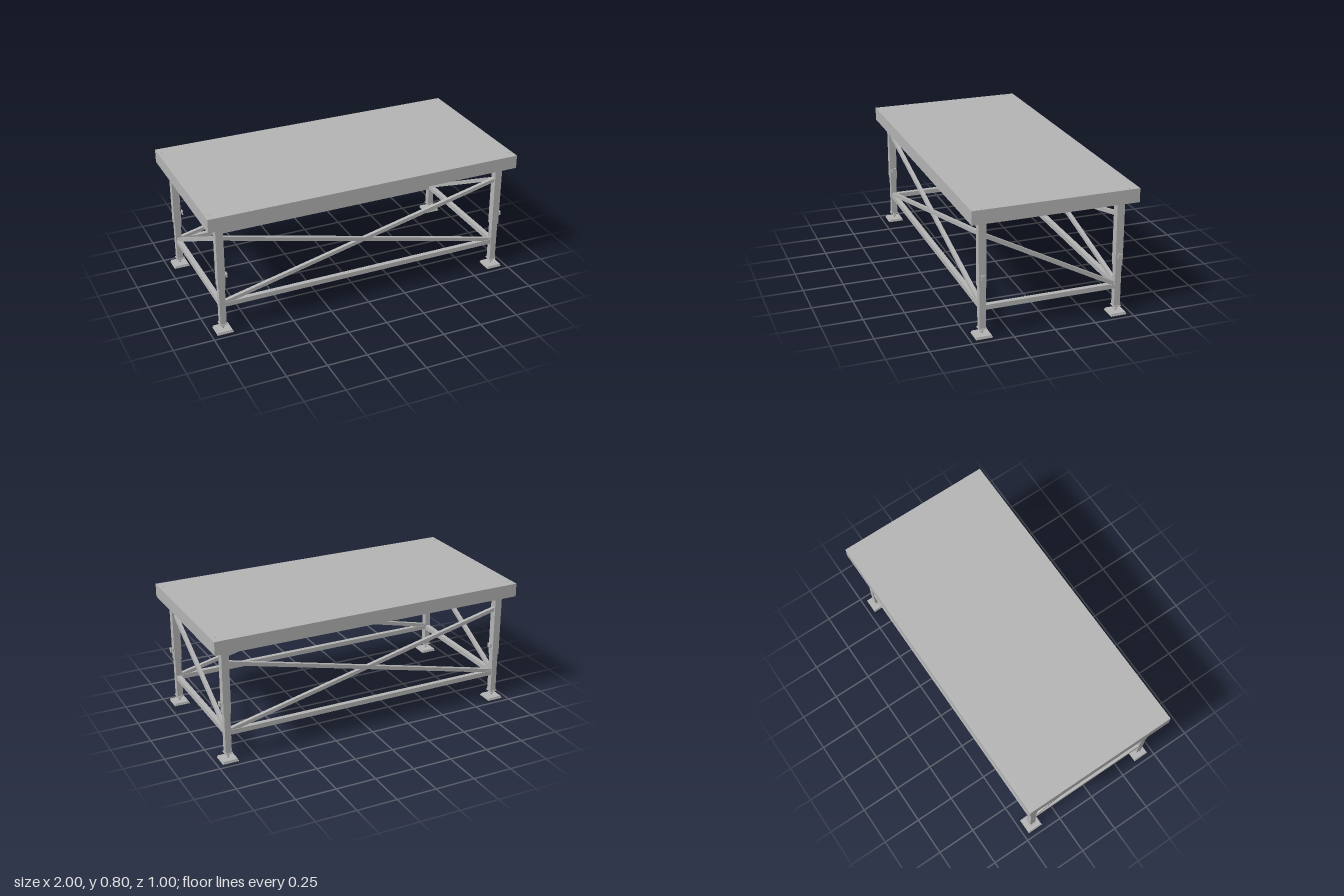
import * as THREE from 'three';

export function createModel() {
  const model = new THREE.Group();
  const steel = new THREE.MeshStandardMaterial({ color: 0xb4b4b4 });
  steel.name = 'grey steel';

  function add(parent, name, geometry, x = 0, y = 0, z = 0) {
    const mesh = new THREE.Mesh(geometry, steel);
    mesh.name = name;
    mesh.position.set(x, y, z);
    parent.add(mesh);
    return mesh;
  }
  const box = (w, h, d) => new THREE.BoxGeometry(w, h, d);

  // Square tube running between two points
  function brace(name, a, b, height, depth) {
    const from = new THREE.Vector3(...a), to = new THREE.Vector3(...b);
    const mid = from.clone().add(to).multiplyScalar(0.5);
    const mesh = add(model, name, box(depth, height, from.distanceTo(to)), mid.x, mid.y, mid.z);
    mesh.lookAt(to);
  }

  // Deck: top panel, hollow rim, cross beams and corner gussets
  const deck = new THREE.Group();
  deck.name = 'deck';
  model.add(deck);
  add(deck, 'deckPanel', box(1.94, 0.02, 0.94), 0, 0.789, 0);

  const rimShape = new THREE.Shape();
  rimShape.moveTo(-1, -0.5).lineTo(1, -0.5).lineTo(1, 0.5).lineTo(-1, 0.5).closePath();
  const hole = new THREE.Path();
  hole.moveTo(-0.97, -0.47).lineTo(-0.97, 0.47).lineTo(0.97, 0.47).lineTo(0.97, -0.47).closePath();
  rimShape.holes.push(hole);
  const rim = new THREE.ExtrudeGeometry(rimShape, { depth: 0.084, bevelEnabled: false });
  rim.rotateX(-Math.PI / 2);
  add(deck, 'deckRim', rim, 0, 0.715, 0);

  for (const x of [-0.5, 0, 0.5]) add(deck, 'crossBeam', box(0.04, 0.045, 0.94), x, 0.757, 0);

  for (const sx of [-1, 1]) for (const sz of [-1, 1]) {
    const corner = new THREE.Shape();
    corner.moveTo(sx * 0.98, -sz * 0.48).lineTo(sx * 0.78, -sz * 0.48).lineTo(sx * 0.98, -sz * 0.3).closePath();
    const gusset = new THREE.ExtrudeGeometry(corner, { depth: 0.012, bevelEnabled: false });
    gusset.rotateX(-Math.PI / 2);
    add(deck, 'cornerGusset', gusset, 0, 0.717, 0);
    add(deck, 'deckPin', new THREE.CylinderGeometry(0.008, 0.008, 0.004, 12), sx * 0.975, 0.799, sz * 0.44);
  }

  // Telescopic legs with clamp, locking knob and screw foot
  const LX = 0.917, LZ = 0.417;
  for (const sx of [-1, 1]) for (const sz of [-1, 1]) {
    const leg = new THREE.Group();
    leg.name = 'leg';
    leg.position.set(sx * LX, 0, sz * LZ);
    model.add(leg);
    add(leg, 'outerSleeve', box(0.046, 0.41, 0.046), 0, 0.512, 0);
    add(leg, 'innerTube', box(0.038, 0.27, 0.038), 0, 0.185, 0);
    add(leg, 'headPlate', box(0.066, 0.01, 0.085), 0, 0.711, 0.012);
    add(leg, 'headClamp', box(0.05, 0.016, 0.064), 0, 0.707, 0.022);

    // Locking knob
    const bolt = add(leg, 'knobBolt', new THREE.CylinderGeometry(0.006, 0.006, 0.065, 10), 0.006, 0.372, 0);
    bolt.rotation.z = Math.PI / 2;
    add(leg, 'knobHead', box(0.006, 0.027, 0.027), 0.038, 0.372, 0);
    add(leg, 'knobWasher', box(0.006, 0.027, 0.027), 0.024, 0.372, 0);

    // Screw foot
    add(leg, 'tubeCollar', box(0.048, 0.004, 0.048), 0, 0.049, 0);
    add(leg, 'footScrew', new THREE.CylinderGeometry(0.006, 0.006, 0.04, 12), 0, 0.03, 0);
    for (const y of [0.029, 0.037]) {
      add(leg, 'footNut', new THREE.CylinderGeometry(0.012, 0.012, 0.004, 12), 0, y, 0);
    }
    add(leg, 'footBase', box(0.1, 0.004, 0.1), 0, 0.002, 0);
    const pad = new THREE.CylinderGeometry(0.045 * Math.SQRT2, 0.048 * Math.SQRT2, 0.011, 4).toNonIndexed();
    pad.rotateY(Math.PI / 4);
    pad.computeVertexNormals();
    add(leg, 'footPad', pad, 0, 0.0095, 0);
  }

  // Long sides: lower rail and crossed braces
  for (const z of [-LZ, LZ]) {
    brace('longRail', [-0.9, 0.18, z], [0.9, 0.18, z], 0.03, 0.03);
    brace('crossBrace', [-0.9, 0.62, z], [0.9, 0.192, z], 0.023, 0.023);
    brace('crossBrace', [0.9, 0.62, z], [-0.9, 0.192, z], 0.023, 0.023);
  }

  // Short ends: lower rail and single diagonal
  for (const x of [-LX, LX]) {
    brace('endRail', [x, 0.178, -0.4], [x, 0.178, 0.4], 0.03, 0.03);
    brace('endBrace', [x, 0.613, 0.4], [x, 0.19, -0.4], 0.024, 0.023);
  }
  return model;
}
